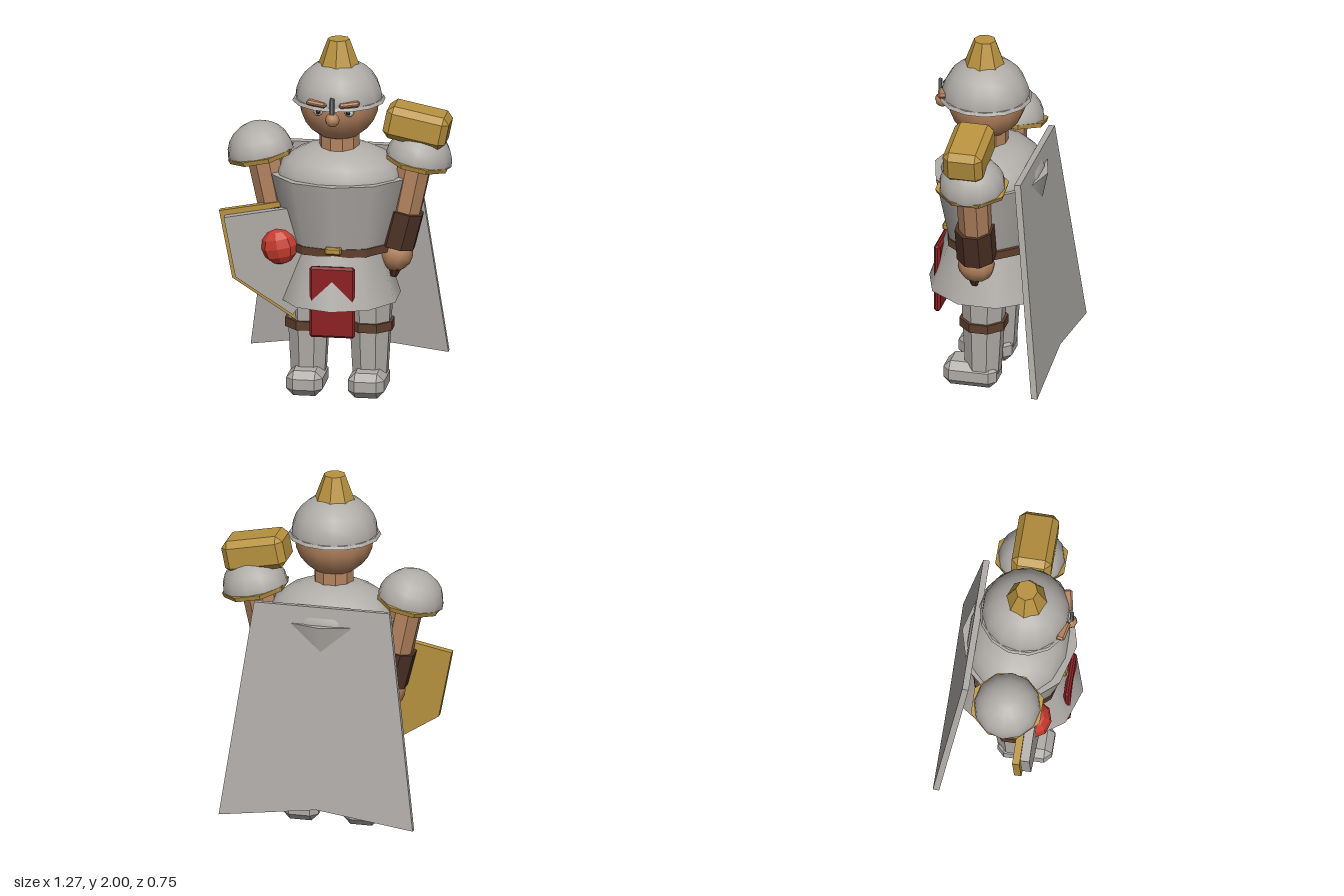
import * as THREE from 'three';
import { ConvexGeometry } from 'three/addons/geometries/ConvexGeometry.js';

const mat = (name, color, flatShading = false) => {
  const m = new THREE.MeshStandardMaterial({ color, flatShading });
  m.name = name;
  return m;
};

export function createModel() {
  const steel = mat('steel', 0xb0aca8);
  const darkSteel = mat('darkSteel', 0x74777a);
  const gold = mat('gold', 0xb8923f);
  const skin = mat('skin', 0xb5845f);
  const leather = mat('leather', 0x5f3f2d);
  const darkLeather = mat('darkLeather', 0x4d3226);
  const red = mat('red', 0xc83c2e);
  const tabardRed = mat('tabardRed', 0x8c2024);
  const white = mat('white', 0xe8e4dc);
  const black = mat('black', 0x201c1a);

  const group = new THREE.Group();
  group.name = 'knight';
  const body = new THREE.Group();
  body.name = 'body';
  body.position.x = 0.015; // the figure stands slightly off the overall centre
  group.add(body);

  const add = (name, geo, material, pos = [0, 0, 0], rot = [0, 0, 0], scale = [1, 1, 1], parent = body) => {
    const mesh = new THREE.Mesh(geo, material);
    mesh.name = name;
    mesh.position.set(...pos);
    mesh.rotation.set(...rot);
    mesh.scale.set(...scale);
    parent.add(mesh);
    return mesh;
  };
  // Faceted geometry: every face keeps its own normal
  const facet = (geo) => {
    const g = geo.toNonIndexed();
    g.computeVertexNormals();
    return g;
  };
  const prism = (rTop, rBottom, h, n, turn = Math.PI / n) =>
    facet(new THREE.CylinderGeometry(rTop, rBottom, h, n).rotateY(turn));
  // Box with chamfered edges and corners
  const chamferBox = (w, h, d, c) => {
    const pts = [];
    for (const x of [-1, 1]) for (const y of [-1, 1]) for (const z of [-1, 1])
      for (let k = 0; k < 3; k++) {
        const cut = [0, 1, 2].map((i) => (i === k ? 0 : c));
        pts.push(new THREE.Vector3(x * (w / 2 - cut[0]), y * (h / 2 - cut[1]), z * (d / 2 - cut[2])));
      }
    return new ConvexGeometry(pts);
  };
  // Tapered limb running down from a to b
  const limb = (name, a, b, rA, rB, material, n = 8) => {
    const A = new THREE.Vector3(...a), B = new THREE.Vector3(...b);
    const dir = A.clone().sub(B);
    const mesh = add(name, prism(rA, rB, dir.length(), n), material, A.clone().add(B).multiplyScalar(0.5).toArray());
    mesh.quaternion.setFromUnitVectors(new THREE.Vector3(0, 1, 0), dir.normalize());
    return mesh;
  };

  // Head and face
  add('head', new THREE.SphereGeometry(0.22, 14, 12), skin, [0, 1.65, 0.05]);
  add('neck', prism(0.11, 0.11, 0.14, 10), skin, [0, 1.41, 0.04]);
  add('nose', new THREE.SphereGeometry(0.04, 8, 6), skin, [0, 1.607, 0.3]);
  for (const s of [-1, 1]) {
    add('eye', new THREE.SphereGeometry(0.027, 10, 8), white, [s * 0.085, 1.642, 0.25]);
    add('pupil', new THREE.SphereGeometry(0.015, 8, 6), black, [s * 0.083, 1.642, 0.268]);
    add('eyebrow', chamferBox(0.115, 0.028, 0.05, 0.01), skin, [s * 0.09, 1.69, 0.275], [0, s * 0.2, s * 0.1]);
  }

  // Helmet
  add('helmetDome', new THREE.SphereGeometry(0.24, 14, 7, 0, Math.PI * 2, 0, Math.PI / 2), steel, [0, 1.66, 0.055], [0, 0, 0], [1, 0.95, 1.01]);
  add('helmetRim', prism(0.245, 0.255, 0.018, 14, 0), steel, [0, 1.663, 0.055]);
  add('noseGuard', chamferBox(0.024, 0.095, 0.02, 0.004), darkSteel, [0, 1.685, 0.31]);
  add('helmetCrest', prism(0.06, 0.112, 0.14, 8, 0), gold, [0, 1.93, 0.06]);

  // Armoured torso, ten sided with an edge at front and back
  add('breastplate', new THREE.CylinderGeometry(0.382, 0.285, 0.4, 10), steel, [0, 1.03, 0.022], [0, 0, 0], [1, 1, 0.83]);
  add('collarDome', new THREE.SphereGeometry(0.355, 14, 6, 0, Math.PI * 2, 0, Math.PI / 2), steel, [0, 1.2, 0.015], [0, 0, 0], [1, 0.585, 0.8]);
  add('belt', prism(0.302, 0.302, 0.045, 10, 0), leather, [0, 0.833, 0.012], [0, 0, 0], [1, 1, 0.86]);
  add('buckle', chamferBox(0.09, 0.04, 0.04, 0.008), gold, [0, 0.852, 0.268]);
  add('skirt', new THREE.CylinderGeometry(0.245, 0.35, 0.305, 10), steel, [0, 0.685, 0.022], [0, 0, 0], [0.965, 1, 1]);
  add('tabard', chamferBox(0.25, 0.4, 0.036, 0.012), tabardRed, [0, 0.57, 0.3]);

  // Legs, arms and shoulders
  for (const s of [-1, 1]) {
    limb('leg', [s * 0.17, 0.6, 0.02], [s * 0.17, 0.08, 0.025], 0.13, 0.1, steel);
    add('kneeBand', prism(0.135, 0.135, 0.05, 8), leather, [s * 0.17, 0.38, 0.022]);
    add('foot', chamferBox(0.2, 0.14, 0.3, 0.04), steel, [s * 0.17, 0.07, 0.085]);

    limb('upperArm', [s * 0.42, 1.32, 0.022], [s * 0.355, 1.0, 0.022], 0.096, 0.09, skin);
    limb('bracer', [s * 0.36, 1.035, 0.027], [s * 0.31, 0.835, 0.027], 0.11, 0.11, darkLeather);
    add('hand', new THREE.SphereGeometry(0.1, 10, 8), skin, [s * 0.315, 0.785, 0.028], [0, 0, -s * 0.24], [0.9, 1, 1.03]);

    const shoulder = new THREE.Group();
    shoulder.name = 'shoulder';
    shoulder.position.set(s * 0.435, 1.32, 0.02);
    shoulder.rotation.z = -s * 0.2;
    body.add(shoulder);
    add('shoulderDome', new THREE.SphereGeometry(0.184, 12, 6, 0, Math.PI * 2, 0, Math.PI / 2), steel, [0, 0, 0], [0, 0, 0], [1, 0.97, 1], shoulder);
    add('shoulderTrim', prism(0.198, 0.19, 0.026, 8), gold, [0, -0.005, 0], [0, 0, 0], [0.94, 1, 1.04], shoulder);
  }

  // War hammer in the left hand, resting above the shoulder
  limb('hammerHandle', [0.43, 1.5, 0.04], [0.305, 0.68, 0.04], 0.028, 0.028, darkLeather);
  limb('hammerPommel', [0.308, 0.7, 0.04], [0.3, 0.655, 0.04], 0.035, 0.018, darkLeather);
  add('hammerHead', chamferBox(0.35, 0.185, 0.22, 0.035), gold, [0.432, 1.525, 0.04], [0, 0, -0.2]);

  // Shield on the right arm
  const shield = new THREE.Group();
  shield.name = 'shield';
  shield.position.set(-0.3, 0.85, 0.08);
  shield.rotation.z = 0.19;
  group.add(shield);
  const plate = (points, depth) => new THREE.ExtrudeGeometry(
    new THREE.Shape(points.map(([x, y]) => new THREE.Vector2(x, y))), { depth, bevelEnabled: false });
  add('shieldBacking', plate([[-0.3, 0.22], [-0.3, -0.165], [0, -0.45], [0.3, -0.165], [0.3, 0.22]], 0.04), gold,
    [0, 0, 0], [0, 0, 0], [1, 1, 1], shield);
  add('shieldFace', plate([[-0.272, 0.19], [-0.272, -0.15], [0, -0.408], [0.272, -0.15], [0.272, 0.19]], 0.05), steel,
    [0, 0, 0.04], [0, 0, 0], [1, 1, 1], shield);
  add('shieldBoss', facet(new THREE.SphereGeometry(0.1, 8, 6)), red, [0, -0.015, 0.09], [0, 0, 0], [1, 1, 0.75], shield);

  // Stiff cape, leaning back towards the hem
  add('cape', plate([[-0.38, 0], [-0.545, -1.213], [0, -1.14], [0.545, -1.213], [0.38, 0]], 0.035), steel,
    [0, 1.33, -0.237], [0.113, 0, 0]);

  return group;
}
